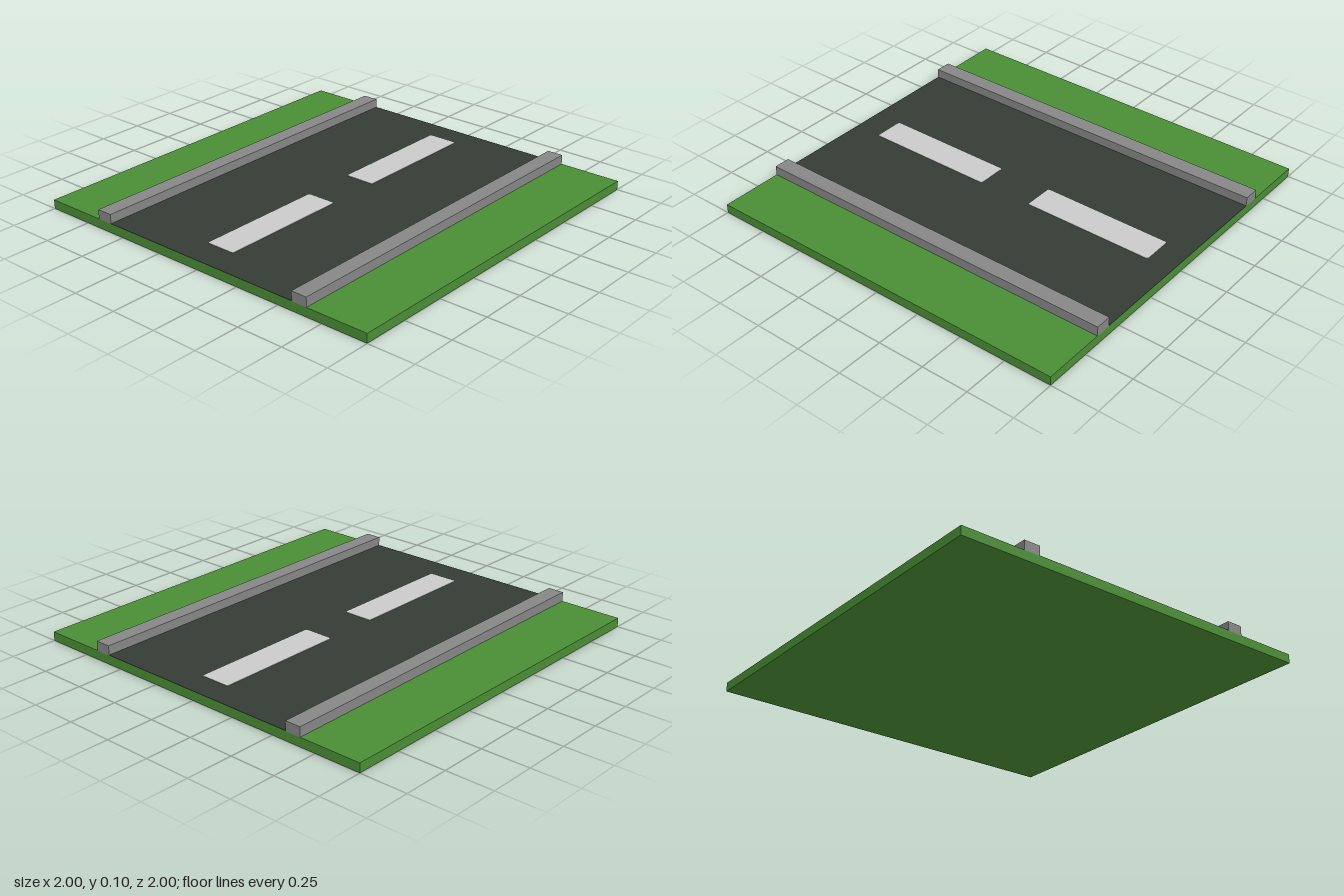
import * as THREE from 'three';

const material = (name, color) => {
  const m = new THREE.MeshStandardMaterial({ color });
  m.name = name;
  return m;
};

// Box given by its centre x, bottom y, and size, running the full length
function slab(name, mat, width, height, x, y) {
  const mesh = new THREE.Mesh(new THREE.BoxGeometry(width, height, 2), mat);
  mesh.name = name;
  mesh.position.set(x, y + height / 2, 0);
  return mesh;
}

// Thin flat marking with small rounded corners, lying on the road
function marking(name, mat, x, y, z, width, length) {
  const w = width / 2, l = length / 2, r = 0.01;
  const shape = new THREE.Shape();
  shape.moveTo(-w + r, -l);
  shape.lineTo(w - r, -l);
  shape.quadraticCurveTo(w, -l, w, -l + r);
  shape.lineTo(w, l - r);
  shape.quadraticCurveTo(w, l, w - r, l);
  shape.lineTo(-w + r, l);
  shape.quadraticCurveTo(-w, l, -w, l - r);
  shape.lineTo(-w, -l + r);
  shape.quadraticCurveTo(-w, -l, -w + r, -l);
  const geometry = new THREE.ExtrudeGeometry(shape, { depth: 0.002, bevelEnabled: false, curveSegments: 3 });
  geometry.rotateX(-Math.PI / 2);
  const mesh = new THREE.Mesh(geometry, mat);
  mesh.name = name;
  mesh.position.set(x, y, z);
  return mesh;
}

export function createModel() {
  const grass = material('grass green', 0x4a8d35);
  const asphalt = material('asphalt grey', 0x353b35);
  const concrete = material('kerb grey', 0x868686);
  const paint = material('marking white', 0xcacaca);

  const group = new THREE.Group();
  group.name = 'roadTile';

  // Ground and road surface
  group.add(slab('grassBase', grass, 2, 0.048, 0, 0));
  group.add(slab('roadSurface', asphalt, 1.165, 0.002, 0, 0.048));

  // Kerbs along both sides
  for (const [side, name] of [[1, 'leftKerb'], [-1, 'rightKerb']]) {
    group.add(slab(name, concrete, 0.086, 0.052, side * 0.622, 0.046));
  }

  // Centre line dashes
  group.add(marking('backDash', paint, -0.004, 0.05, -0.51, 0.162, 0.705));
  group.add(marking('frontDash', paint, -0.002, 0.05, 0.492, 0.16, 0.705));

  return group;
}
